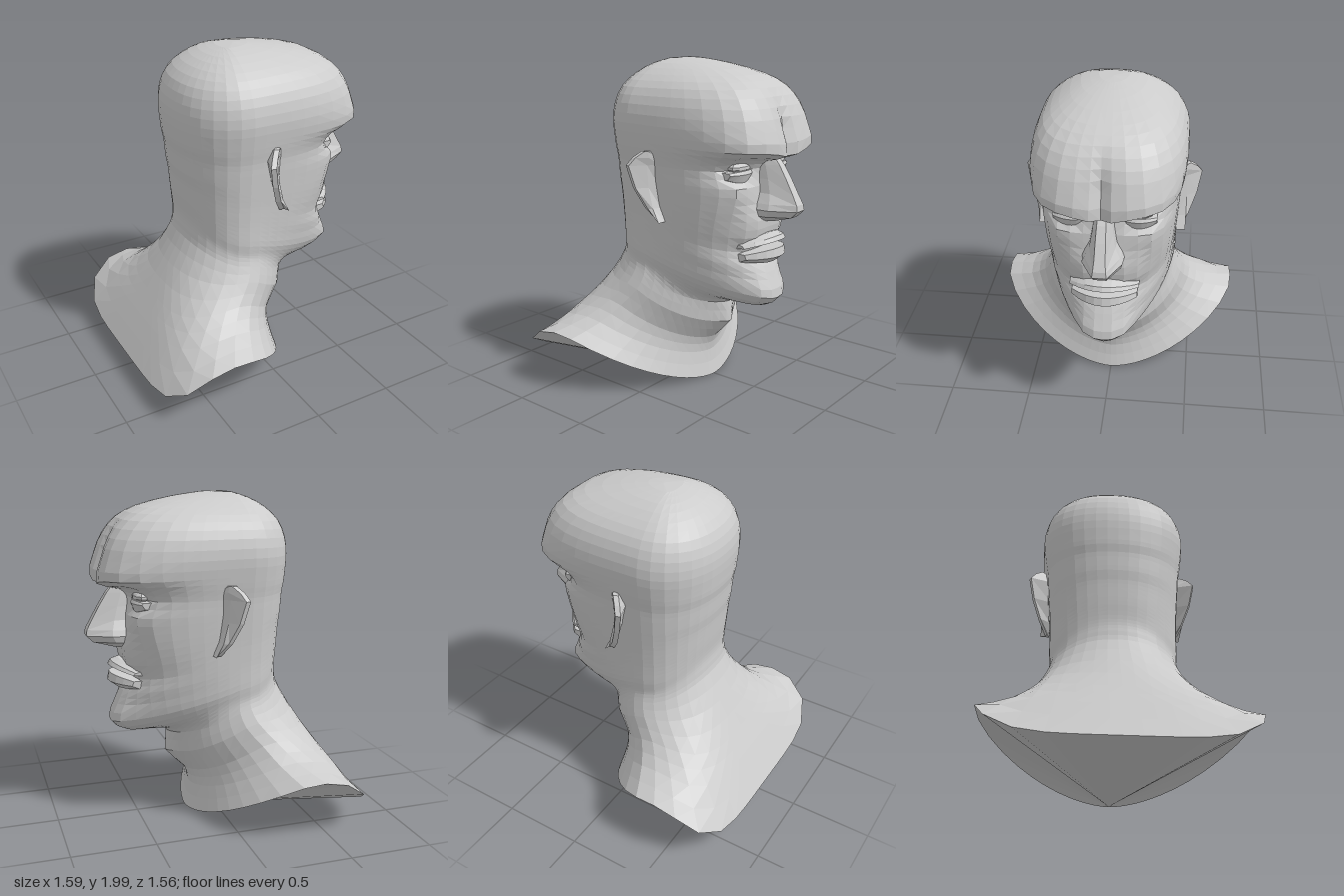
import * as THREE from 'three';

const material = new THREE.MeshStandardMaterial({ color: 0xcccccc, flatShading: true });
const V = (x, y, z) => new THREE.Vector3(x, y, z);

// Skin closed rings (running from +x to +z, stacked upwards) and close both ends
function loft(name, rings, startCentre, endCentre) {
  const n = rings[0].length, pos = [], index = [];
  rings.flat().forEach(p => pos.push(p.x, p.y, p.z));
  for (let i = 0; i < rings.length - 1; i++) {
    for (let j = 0; j < n; j++) {
      const a = i * n + j, b = i * n + (j + 1) % n;
      // diagonals mirror between the two halves
      if (j < n / 2) index.push(a, a + n, b + n, a, b + n, b);
      else index.push(a, a + n, b, b, a + n, b + n);
    }
  }
  const middle = ring => ring.reduce((s, p) => s.add(p), V(0, 0, 0)).divideScalar(n);
  const last = (rings.length - 1) * n, c0 = pos.length / 3, c1 = c0 + 1;
  for (const c of [startCentre ?? middle(rings[0]), endCentre ?? middle(rings.at(-1))]) pos.push(c.x, c.y, c.z);
  for (let j = 0; j < n; j++) {
    const k = (j + 1) % n;
    index.push(c0, j, k, c1, last + k, last + j);
  }
  const g = new THREE.BufferGeometry();
  g.setAttribute('position', new THREE.Float32BufferAttribute(pos, 3));
  g.setIndex(index);
  g.computeVertexNormals();
  const mesh = new THREE.Mesh(g, material);
  mesh.name = name;
  return mesh;
}

// Neck sections: front y, front x, front squareness, side y, half width, back y, back x, side x
const NECK = [
  [0.01, 0.19, 1.72, 0.375, 0.78, 0.13, -0.80, -0.37],
  [0.17, 0.16, 1.72, 0.45, 0.60, 0.35, -0.67, -0.28],
  [0.27, 0.18, 1.7, 0.55, 0.49, 0.48, -0.59, -0.20],
  [0.40, 0.27, 1.7, 0.66, 0.435, 0.68, -0.47, -0.11],
  [0.53, 0.29, 1.7, 0.74, 0.40, 0.85, -0.38, -0.08],
];
// Head sections, same order; the side x is constant
const HEAD = [
  [0.565, 0.36, 1.7, 0.79, 0.385, 0.91, -0.37],
  [0.56, 0.55, 1.5, 0.82, 0.385, 0.95, -0.365],
  [0.63, 0.65, 1.65, 0.87, 0.39, 0.99, -0.365],
  [0.74, 0.62, 1.9, 0.94, 0.39, 1.04, -0.37],
  [0.82, 0.585, 2.2, 1.00, 0.39, 1.08, -0.375],
  [0.91, 0.54, 2.5, 1.06, 0.392, 1.13, -0.38],
  [1.00, 0.57, 2.7, 1.13, 0.395, 1.19, -0.385],
  [1.10, 0.58, 2.9, 1.20, 0.40, 1.24, -0.39],
  [1.20, 0.57, 3.1, 1.27, 0.405, 1.30, -0.40],
  [1.30, 0.56, 3.3, 1.34, 0.41, 1.36, -0.405],
  [1.40, 0.555, 3.3, 1.41, 0.415, 1.42, -0.41],
  [1.465, 0.59, 3.5, 1.47, 0.425, 1.47, -0.42],
  [1.52, 0.725, 3.7, 1.54, 0.435, 1.53, -0.425],
  [1.63, 0.69, 3.7, 1.64, 0.445, 1.63, -0.43],
  [1.75, 0.645, 3.5, 1.75, 0.428, 1.73, -0.42],
  [1.85, 0.575, 3.2, 1.84, 0.38, 1.83, -0.38],
  [1.915, 0.465, 2.7, 1.91, 0.30, 1.91, -0.30],
  [1.97, 0.25, 2.2, 1.97, 0.19, 1.965, -0.20],
  [1.995, 0.08, 2.0, 1.995, 0.09, 1.993, -0.11],
];

// Soft push of the front surface along x: y, |z|, y spread, z spread, amount
const FEATURES = [
  [0.40, 0.00, 0.12, 0.07, 0.045],  // throat
  [1.42, 0.22, 0.05, 0.11, -0.065], // eye sockets
  [1.27, 0.27, 0.07, 0.08, 0.03],   // cheekbones
  [1.05, 0.28, 0.09, 0.06, -0.02],  // cheek hollows
  [1.05, 0.12, 0.06, 0.08, 0.02],   // muzzle
  [0.66, 0.11, 0.08, 0.08, 0.035],  // chin
  [1.66, 0.17, 0.13, 0.11, 0.02],   // forehead lobes
  [1.58, 0.00, 0.16, 0.035, -0.04]  // forehead groove
];

const HALF = 20;

function section([yF, xF, nF, yS, w, yB, xB, xS = -0.08], nB, slope) {
  const ring = [];
  for (let j = 0; j < 2 * HALF; j++) {
    // columns sit closer together on the face
    const k = j <= HALF ? j : 2 * HALF - j, phi = Math.PI * (k / HALF) ** 1.25;
    const c = Math.cos(phi), s = Math.abs(Math.sin(phi)), front = c > 0;
    const a = front ? xF - xS : xS - xB, n = front ? nF : nB;
    const r = 1 / ((Math.abs(c) / a) ** n + (s / w) ** n) ** (1 / n);
    const f = (Math.abs(c) * r / a) ** (front ? slope : 2 * slope);
    const z = r * s, y = yS + ((front ? yF : yB) - yS) * f;
    let x = xS + r * c;
    const weight = THREE.MathUtils.clamp(x * 4, 0, 1);
    for (const [fy, fz, sy, sz, amount] of FEATURES) {
      x += weight * amount * Math.exp(-(((y - fy) / sy) ** 2) - ((z - fz) / sz) ** 2);
    }
    // brow dips towards the nose
    const dip = weight * 0.045 * Math.exp(-(((y - 1.51) / 0.06) ** 2) - (z / 0.15) ** 2);
    ring.push(V(x, y - dip, j <= HALF ? z : -z));
  }
  return ring;
}

// Base, neck, jaw, face and skull as one skin
function headAndNeck() {
  const keys = [...NECK, ...HEAD].map((k, i) =>
    section(k, Math.max(2.25, 5 - i * 0.9), Math.max(0.95, 1.45 - i * 0.15)));
  const columns = keys[0].map((_, j) => new THREE.CatmullRomCurve3(keys.map(k => k[j])));
  const steps = (keys.length - 1) * 2;
  const rings = [];
  for (let i = 0; i <= steps; i++) rings.push(columns.map(c => c.getPoint(i / steps)));
  // the underside fans out from the front of the throat
  return loft('headAndNeck', rings, V(0.185, 0.012, 0), V(-0.01, 2, 0));
}

// Nose sections: y, tip x, ridge half width, root half width
function nose() {
  const rows = [
    [1.09, 0.62, 0.02, 0.06], [1.13, 0.75, 0.035, 0.115], [1.17, 0.79, 0.04, 0.125],
    [1.205, 0.785, 0.035, 0.11], [1.26, 0.755, 0.03, 0.08], [1.34, 0.71, 0.028, 0.065],
    [1.42, 0.66, 0.025, 0.055], [1.48, 0.61, 0.02, 0.045],
  ];
  return loft('nose', rows.map(([y, tip, wf, wb]) => {
    const mid = 0.5 + 0.5 * (tip - 0.5);
    const half = [[tip, wf], [mid, wb * 0.9], [0.5, wb]];
    return [...half.map(([x, z]) => V(x, y, z)), ...half.reverse().map(([x, z]) => V(x, y, -z))];
  }));
}

// Strip swept across z from an x/y profile, bending back and down at its ends
function sweep(name, profile, centre, halfWidth, back, drop) {
  const rings = [];
  for (let i = 0; i <= 8; i++) {
    const s = i / 4 - 1, thin = 1 - 0.45 * s * s;
    const midY = (profile[0][1] + profile.at(-1)[1]) / 2;
    rings.push(profile.map(([x, y]) =>
      V(x - back * s * s, midY + (y - midY) * thin - drop * s * s, centre + s * halfWidth)));
  }
  return loft(name, rings);
}

// Ear sections: y, attachment x, rim x, rim z
function ear(side) {
  const rows = [
    [1.08, 0.12, 0.075, 0.415], [1.16, 0.09, 0.02, 0.46], [1.28, 0.08, -0.03, 0.505],
    [1.41, 0.09, -0.06, 0.53], [1.455, 0.09, -0.035, 0.5], [1.49, 0.05, 0.0, 0.46],
  ];
  return loft(side > 0 ? 'leftEar' : 'rightEar', rows.map(([y, xf, xr, z]) => {
    const ring = [[xf, 0.39], [(xf + xr) / 2 + 0.02, 0.445], [xr + 0.03, z], [xr, z - 0.01], [xr + 0.05, 0.39]]
      .map(([x, d]) => V(x, y, side * d));
    return side > 0 ? ring : ring.reverse();
  }));
}

export function createModel() {
  const model = new THREE.Group();
  model.name = 'bust';
  model.add(headAndNeck(), nose());

  // Mouth
  model.add(
    sweep('upperLip', [[0.5, 1.0], [0.6, 1.02], [0.645, 1.005], [0.66, 0.98], [0.53, 0.955]], 0, 0.2, 0.11, 0.03),
    sweep('lowerLip', [[0.5, 0.93], [0.655, 0.935], [0.665, 0.885], [0.615, 0.845], [0.5, 0.83]], 0, 0.19, 0.11, 0.0),
  );

  // Eyes, lids and ears on both sides
  for (const side of [1, -1]) {
    const name = side > 0 ? 'left' : 'right';
    const eye = new THREE.Mesh(new THREE.SphereGeometry(1, 10, 7), material);
    eye.name = name + 'Eye';
    eye.scale.set(0.05, 0.035, 0.09);
    eye.position.set(0.49, 1.415, side * 0.18);
    const lid = sweep(name + 'LowerLid', [[0.44, 1.4], [0.54, 1.4], [0.55, 1.38], [0.53, 1.33], [0.44, 1.32]],
      side * 0.18, 0.11, 0.04, -0.01);
    model.add(eye, lid, ear(side));
  }
  return model;
}
